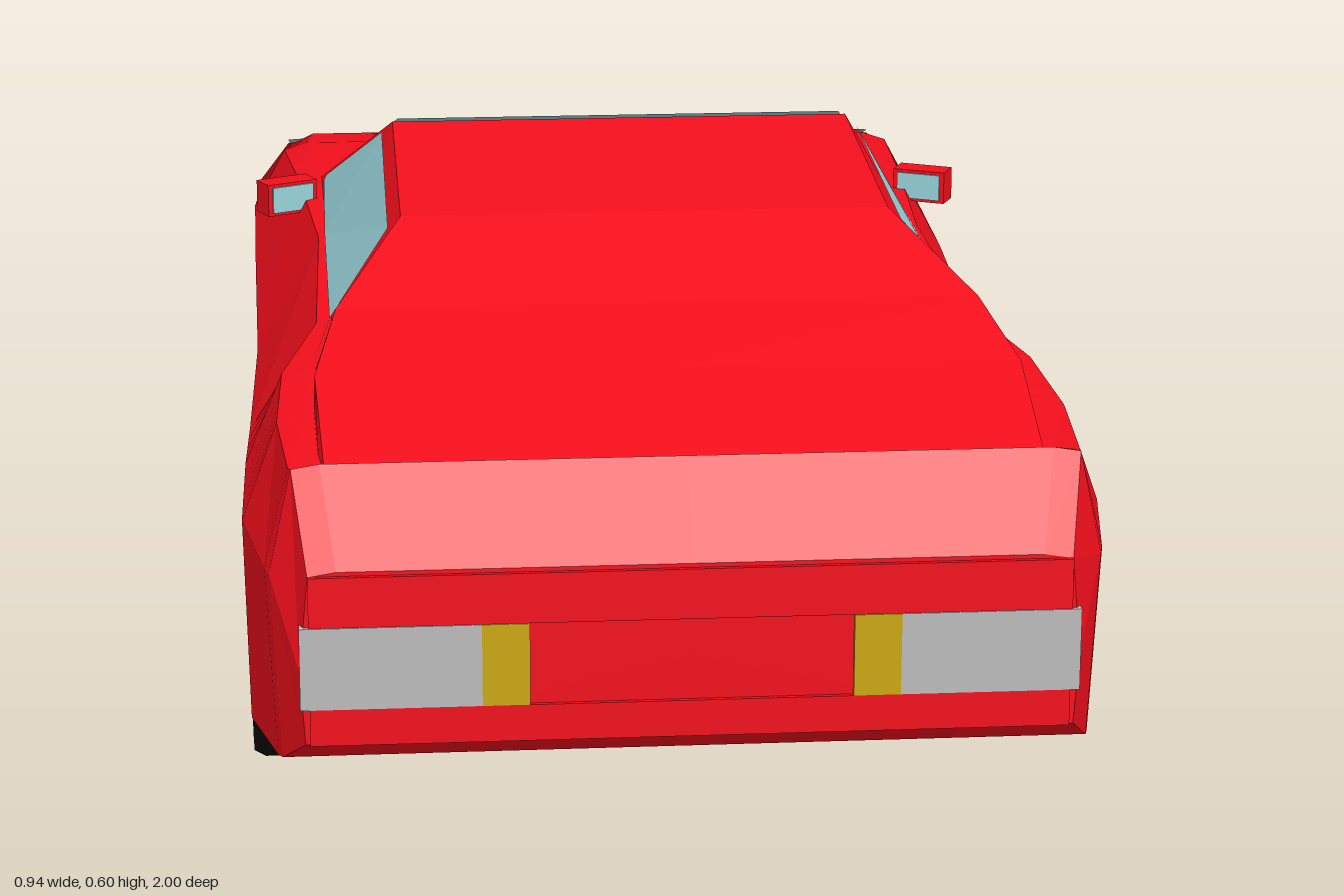
import * as THREE from 'three';

const mat = (color) => new THREE.MeshStandardMaterial({ color, flatShading: true, side: THREE.DoubleSide });
const lerp = THREE.MathUtils.lerp;

// Flat-sided surface through rows of [x, y, z] points
function grid(rows) {
  const pos = [];
  for (let i = 0; i < rows.length - 1; i++) {
    for (let j = 0; j < rows[i].length - 1; j++) {
      const a = rows[i][j], b = rows[i][j + 1], c = rows[i + 1][j + 1], d = rows[i + 1][j];
      pos.push(...a, ...b, ...c, ...a, ...c, ...d);
    }
  }
  const g = new THREE.BufferGeometry();
  g.setAttribute('position', new THREE.Float32BufferAttribute(pos, 3));
  g.computeVertexNormals();
  return g;
}
const flip = ([x, y, z]) => [-x, y, z];
const mirrored = (half) => [...half, ...half.slice(0, -1).reverse().map(flip)];

const ARCHES = [-0.62, 0.575], HUB_Y = 0.157, ARCH_R = 0.17;

// Body stations: z, sill y, sill x, widest x, widest y, shoulder x, shoulder y, deck y
const STATIONS = [
  [-0.8, 0.08, 0.455, 0.465, 0.31, 0.415, 0.385, 0.4],
  [-0.62, 0.075, 0.46, 0.468, 0.34, 0.425, 0.42, 0.43],
  [-0.35, 0.075, 0.455, 0.465, 0.335, 0.405, 0.445, 0.447],
  [0, 0.075, 0.45, 0.46, 0.31, 0.38, 0.455, 0.455],
  [0.39, 0.075, 0.455, 0.465, 0.33, 0.385, 0.455, 0.455],
  [0.575, 0.08, 0.46, 0.468, 0.345, 0.425, 0.45, 0.455],
  [0.76, 0.11, 0.465, 0.47, 0.34, 0.43, 0.45, 0.45],
  [0.92, 0.13, 0.435, 0.445, 0.34, 0.418, 0.45, 0.445],
  [0.94, 0.135, 0.43, 0.44, 0.34, 0.415, 0.455, 0.46],
  [0.995, 0.17, 0.405, 0.41, 0.25, 0.4, 0.355, 0.36],
];
function stationAt(z) {
  let i = 0;
  while (i < STATIONS.length - 2 && STATIONS[i + 1][0] < z) i++;
  const a = STATIONS[i], b = STATIONS[i + 1], t = (z - a[0]) / (b[0] - a[0]);
  return a.map((v, k) => lerp(v, b[k], t));
}
function bodyRing(z, archY) {
  const [, sillY, sillX, wideX, wideY, shX, shY, deckY] = stationAt(z);
  const y = Math.max(sillY, archY);
  return mirrored([[0, sillY, z], [0.283, sillY, z], [0.283, y, z], [sillX, y, z],
    [wideX, wideY, z], [shX, shY, z], [shX - 0.03, deckY, z], [0, deckY, z]]);
}
function bodyGeometry() {
  const cuts = STATIONS.map((s) => [s[0], 0])
    .filter(([z]) => ARCHES.every((c) => Math.abs(z - c) > ARCH_R));
  for (const c of ARCHES) {
    cuts.push([c - ARCH_R, 0]);
    for (let k = 0; k <= 8; k++) {
      const a = Math.PI * (1 - k / 8);
      cuts.push([c + ARCH_R * Math.cos(a), HUB_Y + ARCH_R * Math.sin(a)]);
    }
    cuts.push([c + ARCH_R + 1e-5, 0]);
  }
  cuts.sort((p, q) => p[0] - q[0]);
  const rings = cuts.map(([z, y]) => bodyRing(z, y));
  const cap = (ring) => ring.map(() => [0, 0.26, ring[0][2]]);
  return grid([cap(rings[0]), ...rings, cap(rings[rings.length - 1])]);
}

// Cabin stations: z, base x, base y, roof edge x, roof edge y
const CABIN = [
  [-0.35, 0.375, 0.44, 0.374, 0.447],
  [0, 0.372, 0.45, 0.285, 0.603],
  [0.39, 0.37, 0.45, 0.285, 0.582],
  [0.575, 0.388, 0.45, 0.363, 0.524],
  [0.72, 0.39, 0.44, 0.388, 0.49],
  [0.92, 0.385, 0.43, 0.38, 0.447],
];

// Point on the cabin side at a given z and height
function cabinPoint(z, y) {
  let i = 0;
  while (CABIN[i + 1][0] < z) i++;
  const a = CABIN[i], b = CABIN[i + 1], t = (z - a[0]) / (b[0] - a[0]);
  const [, bx, by, tx, ty] = a.map((v, k) => lerp(v, b[k], t));
  return [lerp(bx, tx, (y - by) / (ty - by)) + 0.006, y, z];
}

// Nose: columns across, rows from the bonnet edge down to the belly
const NOSE = [[0, -1], [0.2, -0.967], [0.285, -0.967], [0.41, -0.915], [0.465, -0.8]];
function noseRows() {
  const bonnet = [[0, 0.41, -0.765], [0.2, 0.41, -0.765], [0.285, 0.408, -0.765], [0.42, 0.395, -0.765], [0.465, 0.33, -0.79]];
  // row: y, set-back in the middle, set-back at the corner
  const levels = [[0.335, 0, 0], [0.29, 0.005, 0.005], [0.28, 0.07, 0.03], [0.215, 0.07, 0.03], [0.195, 0.015, 0.005], [0.125, 0, 0.01]];
  const rows = levels.map(([y, mid, corner]) => NOSE.map(([x, z], k) =>
    [x, k === 4 ? Math.min(y, 0.32) : y, z + (k < 3 ? mid : k === 3 ? corner : 0)]));
  const belly = NOSE.map(([x]) => [x * 0.98, 0.08, -0.79]);
  return [bonnet, ...rows, belly];
}

function makeWheel(tyreMat, rimMat, hubMat) {
  const wheel = new THREE.Group();
  const add = (name, geo, m) => {
    const mesh = new THREE.Mesh(geo, m);
    mesh.name = name;
    wheel.add(mesh);
    return mesh;
  };
  const profile = [[0.126, -0.088], [0.148, -0.088], [0.155, -0.075], [0.155, 0.075], [0.148, 0.088], [0.126, 0.088], [0.126, -0.088]];
  add('tyre', new THREE.LatheGeometry(profile.map((p) => new THREE.Vector2(...p)), 18), tyreMat).rotation.z = -Math.PI / 2;
  add('rim', new THREE.CylinderGeometry(0.127, 0.127, 0.14, 18), rimMat).rotation.z = -Math.PI / 2;
  const hub = add('hub', new THREE.CylinderGeometry(0.022, 0.028, 0.025, 10), hubMat);
  hub.rotation.z = -Math.PI / 2;
  hub.position.x = 0.076;
  for (let i = 0; i < 14; i++) {
    const a = (i / 14) * Math.PI * 2;
    const spoke = add('spoke', new THREE.BoxGeometry(0.012, 0.104, 0.014), hubMat);
    spoke.position.set(0.072, Math.cos(a) * 0.073, Math.sin(a) * 0.073);
    spoke.rotation.x = a;
  }
  return wheel;
}

export function createModel() {
  const car = new THREE.Group();
  car.name = 'car';
  const red = mat(0xf20f1c), glass = mat(0x98d4da), lamp = mat(0xbbbbbb), amber = mat(0xcaa810);
  const tyre = mat(0x0d0d0d), rim = mat(0x4a4a4a), hubMat = mat(0x6a6a6a);
  const add = (name, geo, m, parent = car) => {
    const mesh = new THREE.Mesh(geo, m);
    mesh.name = name;
    parent.add(mesh);
    return mesh;
  };

  add('body', bodyGeometry(), red);
  add('cabin', grid(CABIN.map(([z, bx, by, tx, ty]) => mirrored([[bx, by, z], [tx, ty, z], [0, ty, z]]))), red);

  const nose = noseRows();
  add('nose', grid(nose.map((r) => [...r.slice(1).reverse().map(flip), ...r])), red);

  // Windscreen
  add('windscreen', grid([
    [[-0.278, 0.6, -0.012], [0.278, 0.6, -0.012]].map(([x, y, z]) => [x, y + 0.004, z]),
    [[-0.364, 0.452, -0.345], [0.364, 0.452, -0.345]].map(([x, y, z]) => [x, y + 0.004, z]),
  ]), glass);

  // Side windows, headlamps, tail lamps and mirrors on both sides
  const sill = [-0.28, 0, 0.39, 0.55].map((z) => cabinPoint(z, 0.46));
  const top = [[-0.28, 0.467], [0, 0.59], [0.39, 0.568], [0.55, 0.51]].map(([z, y]) => cabinPoint(z, y));
  const onNose = (k, t) => nose[0][k].map((v, i) => lerp(v, nose[1][k][i], t) + (i === 1 ? 0.005 : 0));
  const lampRows = [[onNose(2, 0.2), onNose(3, 0)], [onNose(2, 0.84), onNose(3, 0.92)]];
  for (const s of [1, -1]) {
    const side = (rows) => grid(s > 0 ? rows : rows.map((r) => r.map(flip).reverse()));
    add('sideWindow', side([top, sill]), glass);
    add('headlamp', side(lampRows), lamp);

    add('tailLamp', new THREE.BoxGeometry(0.19, 0.09, 0.02), lamp).position.set(s * 0.315, 0.255, 0.99);
    add('indicator', new THREE.BoxGeometry(0.05, 0.09, 0.02), amber).position.set(s * 0.195, 0.255, 0.99);

    const mirror = new THREE.Group();
    mirror.name = 'mirror';
    mirror.position.set(s * 0.42, 0.454, -0.225);
    mirror.rotation.y = -s * 0.45;
    add('mirrorShell', new THREE.BoxGeometry(0.07, 0.042, 0.035), red, mirror);
    add('mirrorGlass', new THREE.BoxGeometry(0.058, 0.034, 0.004), glass, mirror).position.z = 0.018;
    add('mirrorArm', new THREE.BoxGeometry(0.05, 0.016, 0.022), red, mirror).position.set(-s * 0.04, -0.014, 0);
    car.add(mirror);

    for (const z of ARCHES) {
      const wheel = makeWheel(tyre, rim, hubMat);
      wheel.name = z < 0 ? 'frontWheel' : 'rearWheel';
      wheel.position.set(s * 0.377, HUB_Y - 0.002, z);
      wheel.rotation.y = s > 0 ? 0 : Math.PI;
      car.add(wheel);
    }
  }

  // Rear bumper step and rear panel
  add('rearBumper', new THREE.BoxGeometry(0.8, 0.04, 0.02), red).position.set(0, 0.19, 0.99);
  add('rearPanel', new THREE.BoxGeometry(0.8, 0.055, 0.02), red).position.set(0, 0.328, 0.99);
  return car;
}
